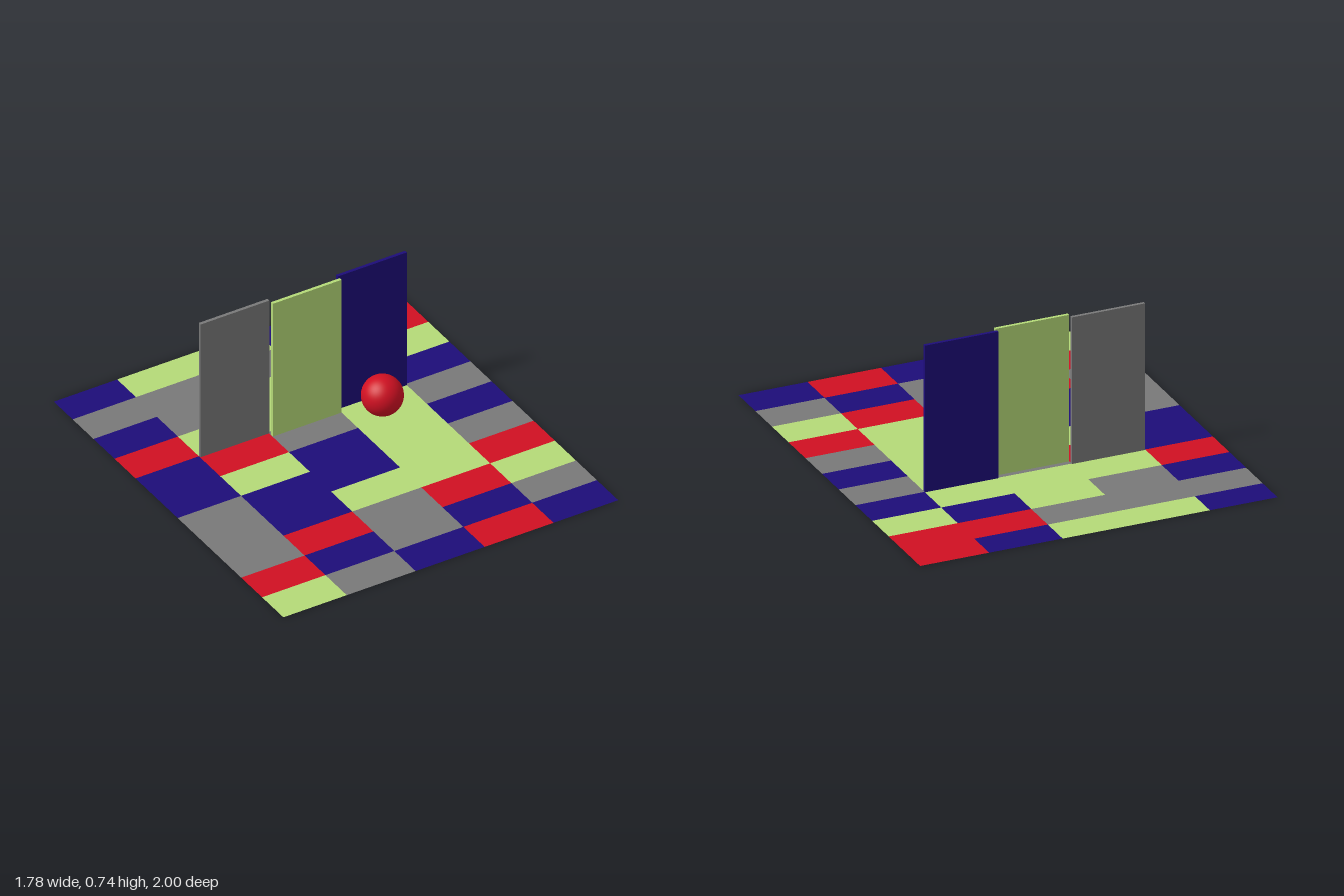
import * as THREE from 'three';

const materials = {
  K: new THREE.MeshStandardMaterial({ color: 0x787878, side: THREE.DoubleSide }),
  G: new THREE.MeshStandardMaterial({ color: 0xb4d977, side: THREE.DoubleSide }),
  B: new THREE.MeshStandardMaterial({ color: 0x1c0c78, side: THREE.DoubleSide }),
  R: new THREE.MeshStandardMaterial({ color: 0xd01022, side: THREE.DoubleSide }),
};

// Tile colours, back row first, each row from -x to +x
const rows = [
  'BGGBR', 'KKKRR', 'BKGBG', 'RGGGB', 'BRKGK', 'BGBGB',
  'KBBGK', 'KBGGR', 'KRKRG', 'RBKBK', 'GKBRB',
];
const xEdges = [-0.89, -0.553, -0.187, 0.18, 0.546, 0.89];
const zEdges = [-1, -0.836, -0.654, -0.471, -0.288, -0.103, 0.079, 0.263, 0.448, 0.632, 0.814, 1];

function addMesh(parent, name, geometry, color, x, y, z) {
  const mesh = new THREE.Mesh(geometry, materials[color]);
  mesh.name = name;
  mesh.position.set(x, y, z);
  parent.add(mesh);
  return mesh;
}

export function createModel() {
  const model = new THREE.Group();
  model.name = 'tiledFloorWithScreensAndBall';

  // Paper-thin floor of coloured tiles
  const floor = new THREE.Group();
  floor.name = 'tiledFloor';
  model.add(floor);
  rows.forEach((row, r) => {
    [...row].forEach((color, c) => {
      const [x0, x1] = [xEdges[c], xEdges[c + 1]];
      const [z0, z1] = [zEdges[r], zEdges[r + 1]];
      const tile = new THREE.PlaneGeometry(x1 - x0, z1 - z0).rotateX(-Math.PI / 2);
      addMesh(floor, 'floorTile', tile, color, (x0 + x1) / 2, 0, (z0 + z1) / 2);
    });
  });

  // Three upright screens, the middle one set slightly forward
  const height = 0.735;
  const depth = 0.016;
  [
    ['rightScreen', 'K', -0.55, -0.185, -0.285],
    ['middleScreen', 'G', -0.185, 0.18, -0.254],
    ['leftScreen', 'B', 0.18, 0.546, -0.285],
  ].forEach(([name, color, x0, x1, z]) => {
    addMesh(model, name, new THREE.BoxGeometry(x1 - x0, height, depth), color, (x0 + x1) / 2, height / 2, z);
  });

  // Ball resting in front of the left screen
  addMesh(model, 'ball', new THREE.SphereGeometry(0.098, 48, 32), 'R', 0.335, 0.101, -0.145);

  return model;
}
